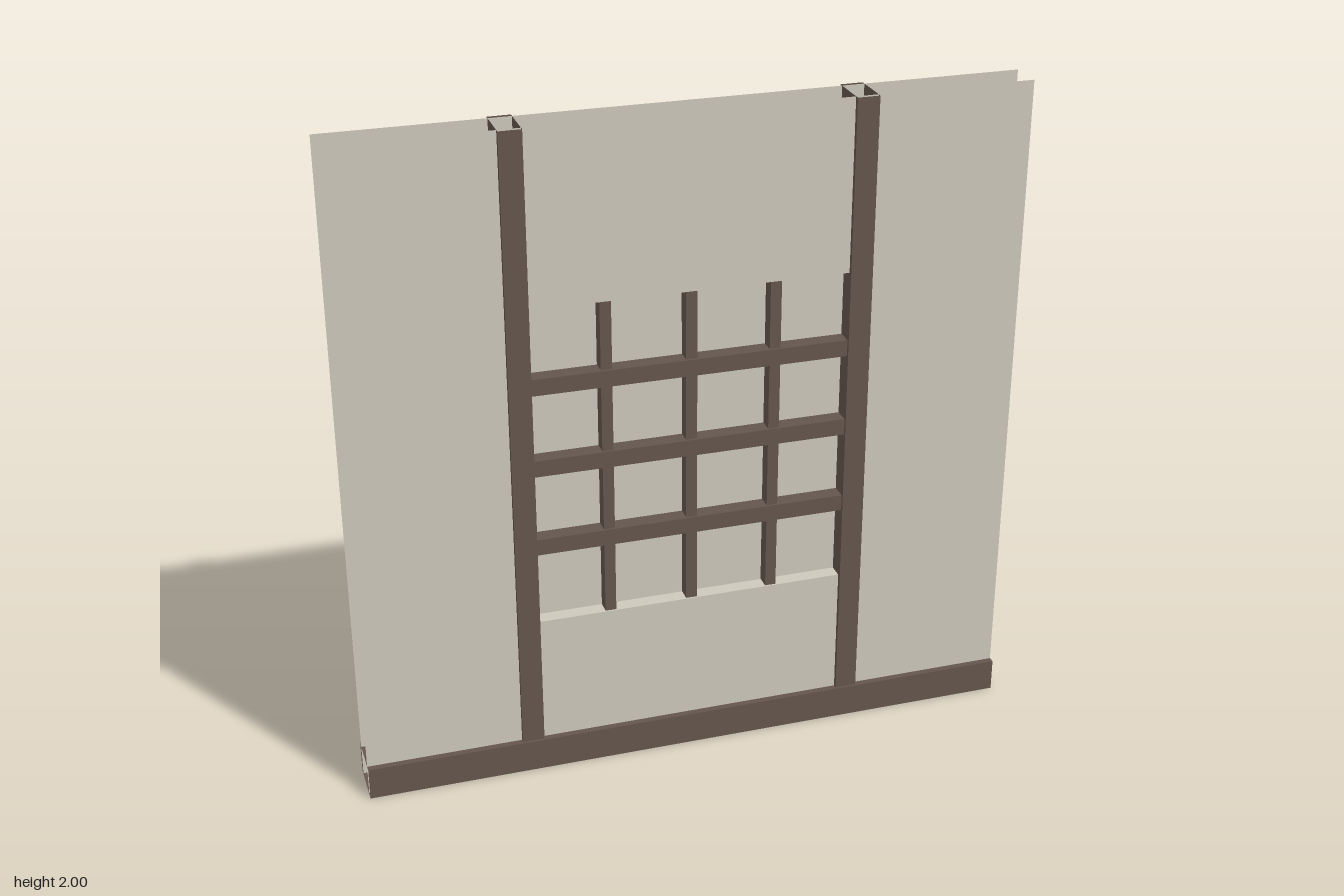
import * as THREE from 'three';

const panelMat = new THREE.MeshStandardMaterial({ color: 0xcdc8bc, side: THREE.DoubleSide });
panelMat.name = 'plaster';
const woodMat = new THREE.MeshStandardMaterial({ color: 0x64564d, side: THREE.DoubleSide });
woodMat.name = 'dark wood';

const W = { x: 0.5, bottom: 0.5, top: 1.485 }; // window niche
const SKIN = 0.053, NICHE = 0.008;             // depth of wall skin and niche back

function add(parent, name, geometry, material, x = 0, y = 0, z = 0) {
  const mesh = new THREE.Mesh(geometry, material);
  mesh.name = name;
  mesh.position.set(x, y, z);
  parent.add(mesh);
  return mesh;
}

// four-sided tube of thin sheet with open ends, running along y
function openTube(width, length, depth) {
  const g = new THREE.CylinderGeometry(Math.SQRT1_2, Math.SQRT1_2, 1, 4, 1, true).toNonIndexed();
  g.rotateY(Math.PI / 4);
  g.scale(width, length, depth);
  g.computeVertexNormals();
  return g;
}

// one wall face: thin skin with a recessed niche
function wallSide() {
  const side = new THREE.Group();
  const shape = new THREE.Shape();
  shape.moveTo(-1, 0.005).lineTo(1, 0.005).lineTo(1, 2).lineTo(-1, 2).closePath();
  const hole = new THREE.Path();
  hole.moveTo(-W.x, W.bottom).lineTo(-W.x, W.top).lineTo(W.x, W.top).lineTo(W.x, W.bottom).closePath();
  shape.holes.push(hole);
  add(side, 'wallSkin', new THREE.ShapeGeometry(shape), panelMat, 0, 0, SKIN);

  const h = W.top - W.bottom, midY = (W.top + W.bottom) / 2;
  const reveal = openTube(2 * W.x, SKIN - NICHE, h);
  reveal.rotateX(Math.PI / 2);
  add(side, 'windowReveal', reveal, panelMat, 0, midY, (SKIN + NICHE) / 2);
  add(side, 'windowPane', new THREE.PlaneGeometry(2 * W.x, h), panelMat, 0, midY, NICHE);
  return side;
}

export function createModel() {
  const model = new THREE.Group();
  model.name = 'wallSection';

  // front and back wall faces
  ['frontWall', 'backWall'].forEach((name, i) => {
    const side = wallSide();
    side.name = name;
    side.rotation.y = i * Math.PI;
    model.add(side);
  });

  // hollow base beam
  const beam = openTube(0.1, 2, 0.146);
  beam.rotateZ(Math.PI / 2);
  add(model, 'baseBeam', beam, woodMat, 0, 0.05, 0);

  // hollow posts
  for (const s of [-1, 1]) {
    add(model, s > 0 ? 'leftPost' : 'rightPost', openTube(0.066, 1.92, 0.132), woodMat, s * 0.5, 1.04, 0);
  }

  // window lattice
  const lattice = new THREE.Group();
  lattice.name = 'windowLattice';
  for (const i of [-1, 0, 1]) {
    add(lattice, 'horizontalBar', new THREE.BoxGeometry(0.936, 0.05, 0.114), woodMat, 0, 1.002 + i * 0.252, 0);
    add(lattice, 'verticalBar', new THREE.BoxGeometry(0.033, W.top - W.bottom - 0.002, 0.1), woodMat,
      i * 0.249, (W.top + W.bottom) / 2, 0);
  }
  model.add(lattice);
  return model;
}
